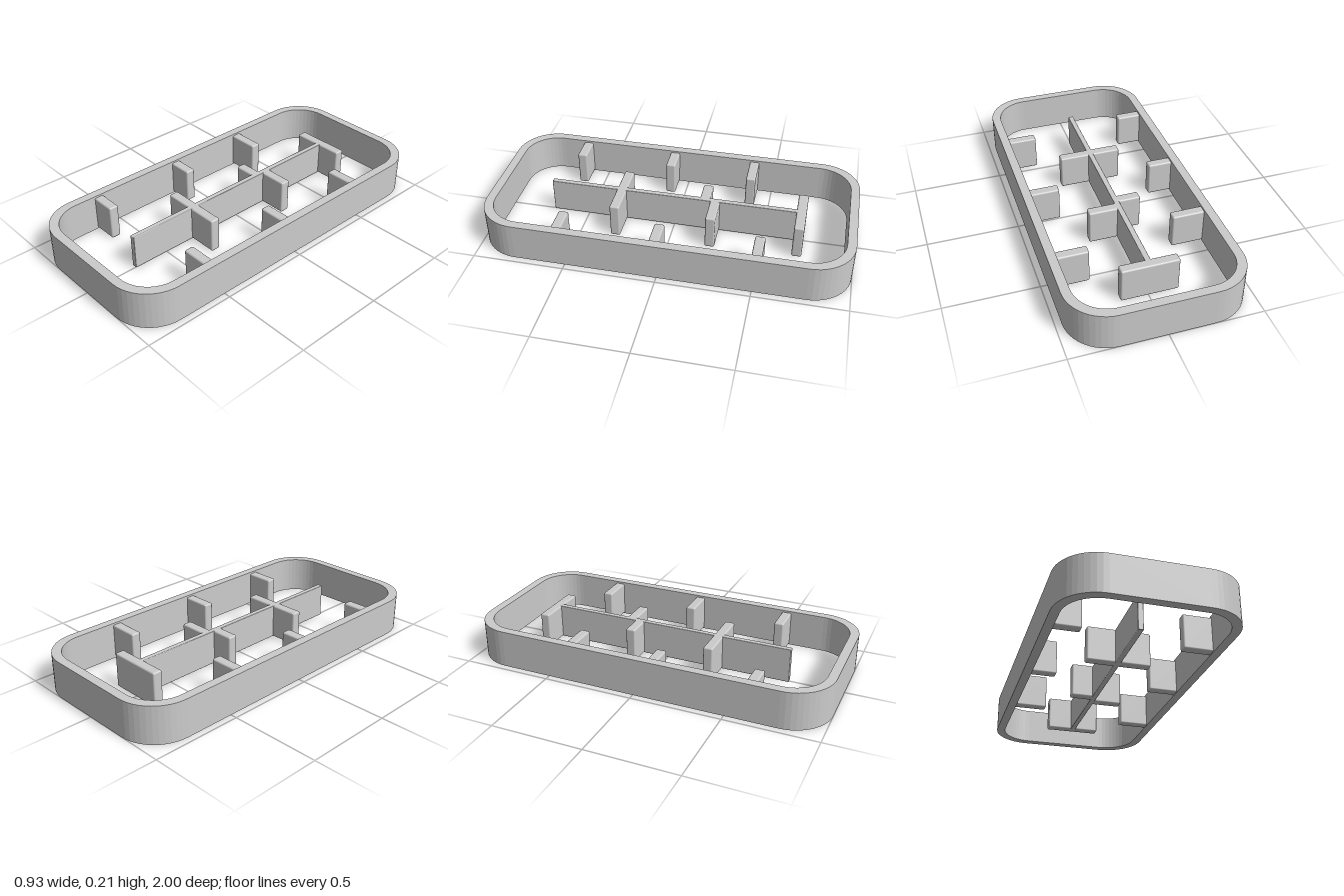
import * as THREE from 'three';
import { RoundedBoxGeometry } from 'three/addons/geometries/RoundedBoxGeometry.js';

const HEIGHT = 0.208;
const BAFFLE_TOP = 0.197;
const BAFFLE_BOTTOM = 0.004;

// Adds a rounded rectangle outline to a shape or path
function roundedRect(path, halfW, halfL, r) {
  const x = halfW - r, y = halfL - r;
  path.moveTo(halfW, -y);
  path.lineTo(halfW, y);
  path.absarc(x, y, r, 0, Math.PI / 2);
  path.absarc(-x, y, r, Math.PI / 2, Math.PI);
  path.absarc(-x, -y, r, Math.PI, Math.PI * 1.5);
  path.absarc(x, -y, r, Math.PI * 1.5, Math.PI * 2);
  return path;
}

export function createModel() {
  const model = new THREE.Group();
  model.name = 'baffleTray';
  const material = new THREE.MeshStandardMaterial({ color: 0xcccccc });
  const faceted = new THREE.MeshStandardMaterial({ color: 0xcccccc, flatShading: true });

  // Open outer frame with faceted round corners
  const outline = roundedRect(new THREE.Shape(), 0.465, 1, 0.22);
  outline.holes.push(roundedRect(new THREE.Path(), 0.417, 0.952, 0.18));
  const frameGeometry = new THREE.ExtrudeGeometry(outline, { depth: HEIGHT, bevelEnabled: false, curveSegments: 6 });
  frameGeometry.rotateX(-Math.PI / 2);
  const frame = new THREE.Mesh(frameGeometry, faceted);
  frame.name = 'outerFrame';
  model.add(frame);

  // Upright plate with softened edges between two x and two z positions
  function addPlate(name, x0, x1, z0, z1, radius) {
    const h = BAFFLE_TOP - BAFFLE_BOTTOM;
    const mesh = new THREE.Mesh(new RoundedBoxGeometry(x1 - x0, h, z1 - z0, 2, radius), material);
    mesh.position.set((x0 + x1) / 2, BAFFLE_BOTTOM + h / 2, (z0 + z1) / 2);
    mesh.name = name;
    model.add(mesh);
  }

  // Long wall down the middle
  addPlate('centreWall', -0.02, 0.01, -0.72, 0.705, 0.004);

  // Short baffles: name, start x, end x, centre z
  const baffles = [
    ['rightSideBaffle', -0.44, -0.243, -0.39],
    ['rightSideBaffle', -0.44, -0.285, 0.085],
    ['rightSideBaffle', -0.44, -0.28, 0.62],
    ['leftSideBaffle', 0.25, 0.44, -0.51],
    ['leftSideBaffle', 0.258, 0.44, 0.025],
    ['leftSideBaffle', 0.26, 0.44, 0.555],
    ['backCrossBaffle', -0.16, 0.148, -0.7],
    ['leftCentreBaffle', -0.01, 0.165, -0.228],
    ['rightCentreBaffle', -0.14, 0, -0.168],
    ['frontCrossBaffle', -0.175, 0.173, 0.3],
  ];
  for (const [name, x0, x1, z] of baffles) addPlate(name, x0, x1, z - 0.027, z + 0.027, 0.009);

  return model;
}
